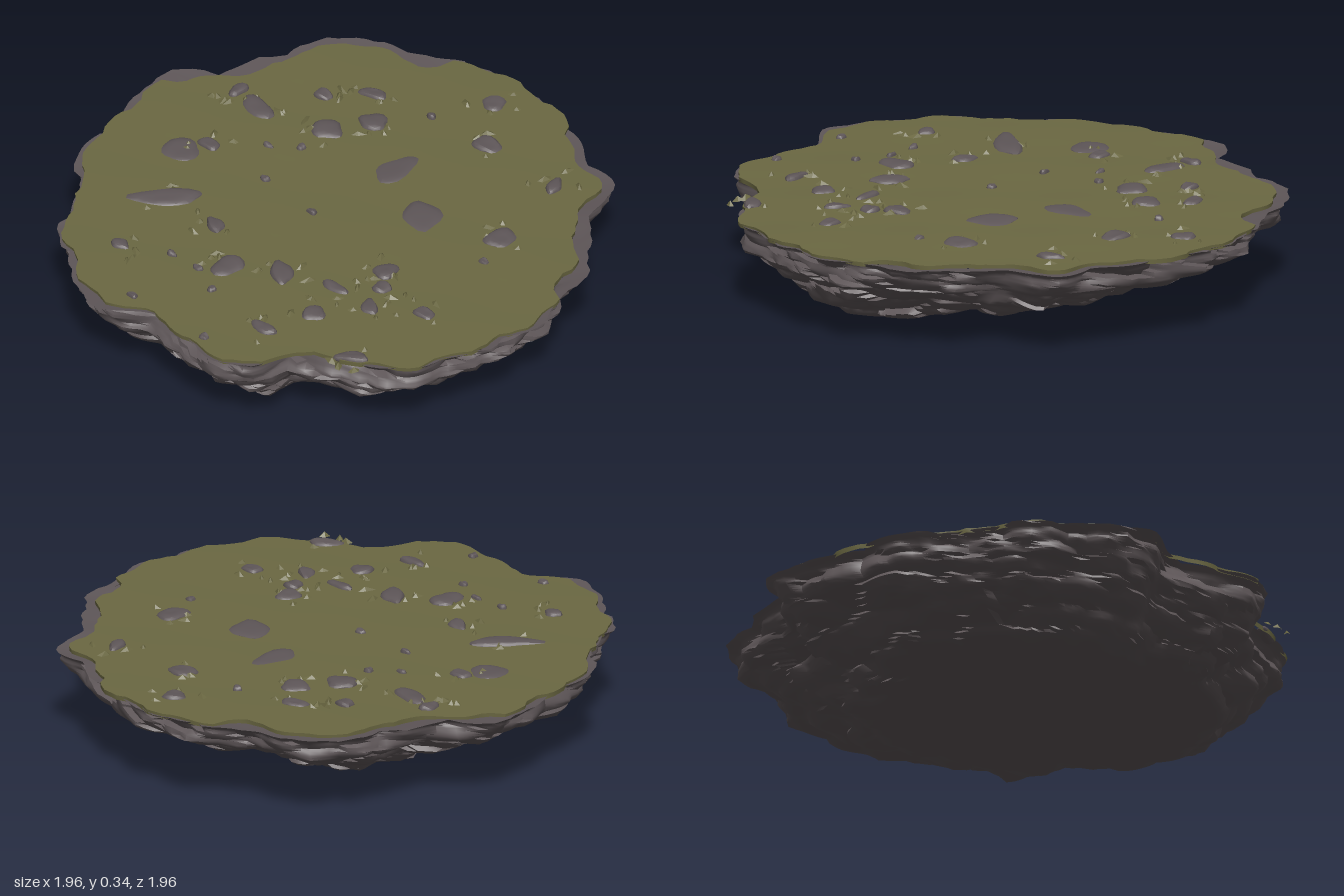
import * as THREE from 'three';
import { mergeGeometries, toCreasedNormals } from 'three/addons/utils/BufferGeometryUtils.js';

// Seeded random numbers
let seed = 7;
const rnd = () => {
  seed = (seed * 1664525 + 1013904223) % 4294967296;
  return seed / 4294967296;
};

// Island outline seen from above (x, z)
const outline = new THREE.CatmullRomCurve3([
  [0.98, 0], [0.95, 0.23], [0.87, 0.47], [0.8, 0.57], [0.59, 0.68], [0.46, 0.76], [0.41, 0.9],
  [0.22, 0.96], [0.11, 0.945], [-0.08, 0.92], [-0.24, 0.98], [-0.37, 0.95], [-0.49, 0.87],
  [-0.67, 0.73], [-0.73, 0.59], [-0.92, 0.32], [-0.96, 0.08], [-0.98, -0.19], [-0.85, -0.35],
  [-0.77, -0.51], [-0.75, -0.67], [-0.6, -0.83], [-0.4, -0.86], [-0.18, -0.98], [0.14, -0.97],
  [0.32, -0.92], [0.43, -0.83], [0.62, -0.77], [0.69, -0.56], [0.88, -0.35], [0.93, -0.19],
].map(([x, z]) => new THREE.Vector3(x, 0, z)), true);
const SEGS = 180;
const rim = outline.getSpacedPoints(SEGS).slice(0, SEGS);

// Closed rings of points joined into a surface
function loft(rows, point) {
  const pos = [], idx = [];
  for (let j = 0; j < rows; j++)
    for (let i = 0; i < SEGS; i++) pos.push(...point(i, j / (rows - 1)).toArray());
  for (let j = 0; j < rows - 1; j++)
    for (let i = 0; i < SEGS; i++) {
      const a = j * SEGS + i, b = j * SEGS + (i + 1) % SEGS;
      idx.push(a, b, a + SEGS, b, b + SEGS, a + SEGS);
    }
  const g = new THREE.BufferGeometry();
  g.setAttribute('position', new THREE.Float32BufferAttribute(pos, 3));
  g.setIndex(idx);
  g.computeVertexNormals();
  return g;
}

// Rock profile: position along it, scale of the outline, height
const profile = [
  [0, 0.9, 0.318], [0.06, 0.99, 0.327], [0.1, 0.95, 0.31], [0.28, 0.94, 0.235], [0.36, 0.88, 0.2],
  [0.48, 0.82, 0.145], [0.6, 0.72, 0.085], [0.74, 0.62, 0.03], [0.82, 0.52, 0.008],
  [0.92, 0.25, 0.012], [1, 0, 0.015],
];
const feet = [[0.63, 0.1], [-0.1, 0.6], [-0.48, -0.3]];

// Smooth underlying rock surface, leaning towards the front as it goes down
function rockBase(i, t) {
  let k = 0;
  while (k < profile.length - 2 && t > profile[k + 1][0]) k++;
  const [t0, s0, y0] = profile[k], [t1, s1, y1] = profile[k + 1];
  const f = (t - t0) / (t1 - t0), s = s0 + (s1 - s0) * f;
  let y = y0 + (y1 - y0) * f;
  const lean = Math.max(0, 1 - y / 0.26);
  const p = new THREE.Vector3(rim[i].x * s + 0.06 * lean, y, rim[i].z * s + 0.12 * lean);
  const near = Math.max(...feet.map(([x, z]) => Math.exp(-((p.x - x) ** 2 + (p.z - z) ** 2) / 0.06)));
  p.y += 0.055 * (1 - near) * Math.max(0, 1 - y / 0.2);
  return p;
}

// Stone cells that break the rock surface into overlapping blocks
const cells = Array.from({ length: 260 }, () => ({
  p: rockBase(Math.floor(rnd() * SEGS), rnd() * 0.82),
  push: (rnd() - 0.5) * 0.034,
  tilt: (rnd() - 0.3) * 0.5,
}));

function rockPoint(i, t) {
  const p = rockBase(i, t);
  let best = Infinity, cell = cells[0];
  for (const c of cells) {
    const d = (p.x - c.p.x) ** 2 + 4 * (p.y - c.p.y) ** 2 + (p.z - c.p.z) ** 2;
    if (d < best) { best = d; cell = c; }
  }
  const fade = Math.min(1, Math.max(0, (0.86 - t) / 0.2));
  const d = fade * (0.034 * (0.5 - Math.sqrt(best) / 0.1) + cell.push + cell.tilt * (p.y - cell.p.y));
  const r = Math.hypot(p.x, p.z) || 1;
  p.x = THREE.MathUtils.clamp(p.x * (1 + d / r), -1, 1);
  p.z = THREE.MathUtils.clamp(p.z * (1 + d / r), -0.99, 0.99);
  p.y = Math.max(0, p.y - (t > 0.3 ? d * 0.25 : 0));
  return p;
}

// Grass sheet with a ragged edge that drops over the rim
const ragged = rim.map((p, i) => 0.965 + 0.012 * Math.sin(i * 0.9) + (rnd() - 0.5) * 0.012
  - (p.z < -0.15 && Math.abs(p.x) > 0.3 ? 0.035 : 0));
function grassPoint(i, t) {
  const edge = t > 0.97;
  const s = edge ? ragged[i] * 0.998 : ragged[i] * t / 0.97;
  const x = rim[i].x * s, z = rim[i].z * s;
  const wave = 0.0025 * Math.sin(x * 9 + 2 * z) * Math.cos(z * 11 - x * 3);
  return new THREE.Vector3(x, edge ? 0.318 : 0.335 + wave, z);
}

// Embedded stones: x, z, half width, half depth, turn
const stones = [
  [-0.01, -0.3, 0.06, 0.1, 0], [0.25, -0.16, 0.1, 0.07, -0.7], [-0.63, 0.12, 0.06, 0.08, -0.3],
  [-0.49, 0.37, 0.13, 0.05, 0.8], [-0.05, 0.51, 0.06, 0.06, 0], [0.54, -0.25, 0.05, 0.06, 0],
  [0.37, 0.16, 0.04, 0.05, 0], [0.11, 0.41, 0.08, 0.04, -0.7], [0.36, 0.51, 0.04, 0.05, 0],
  [0.28, 0.69, 0.05, 0.03, 0], [-0.01, -0.81, 0.05, 0.04, 0.6], [0.14, -0.62, 0.06, 0.04, 0],
  [-0.36, -0.57, 0.05, 0.03, 0.3], [-0.25, -0.45, 0.06, 0.05, 0], [-0.33, -0.31, 0.06, 0.06, 0],
  [-0.6, -0.24, 0.07, 0.05, -0.3], [-0.72, -0.27, 0.03, 0.04, 0], [-0.48, -0.45, 0.04, 0.025, 0],
  [-0.58, 0.03, 0.04, 0.03, 0], [-0.25, 0.36, 0.05, 0.03, -0.5], [-0.41, 0.67, 0.04, 0.03, 0],
  [0.31, 0.35, 0.05, 0.03, 0], [0.47, 0.35, 0.05, 0.03, -0.7], [0.43, 0.24, 0.04, 0.03, 0],
  [0.64, 0.25, 0.04, 0.03, 0], [0.62, 0.61, 0.06, 0.03, 0.6], [0.47, -0.6, 0.03, 0.05, 0.4],
];
const pebbles = [[-0.42, -0.1], [-0.3, 0.05], [-0.33, -0.17], [0.59, -0.11], [-0.05, 0.08],
  [-0.12, -0.61], [-0.24, 0.59], [-0.12, 0.59], [0, 0.65], [0.17, 0.87], [-0.18, 0.86]]
  .map(([x, z]) => [x, z, 0.02, 0.015, 0]);

function stoneGeometry([x, z, rx, rz, turn], n) {
  const g = new THREE.IcosahedronGeometry(1, 2), p = g.attributes.position, v = new THREE.Vector3();
  for (let i = 0; i < p.count; i++) {
    v.fromBufferAttribute(p, i);
    const k = 1 + 0.13 * Math.sin(v.x * 3 + n * 2) + 0.1 * Math.sin(v.z * 4 + n);
    p.setXYZ(i, v.x * k, Math.min(v.y, 0.75) * k, v.z * k);
  }
  g.scale(rx, n < 3 ? 0.012 : 0.021, rz).rotateY(turn).translate(x, 0.331, z);
  return toCreasedNormals(g, 0.5);
}

// Small crumpled turf peaks, mostly gathered beside the stones
function turfGeometry(n) {
  const s = stones[3 + (n % (stones.length - 3))];
  const a = rnd() * 6.28, r = 0.05 + rnd() * 0.05;
  const g = new THREE.ConeGeometry(1, 1, 5, 1, true);
  g.scale(0.016 + rnd() * 0.025, 0.018, 0.009 + rnd() * 0.01);
  g.rotateZ((rnd() - 0.5) * 0.4).rotateY(rnd() * 6.28);
  g.translate(s[0] + Math.cos(a) * r, 0.34, s[1] + Math.sin(a) * r);
  return toCreasedNormals(g, 0.3);
}

export function createModel() {
  const rock = new THREE.MeshStandardMaterial({ color: 0x5e5658 });
  rock.name = 'rock grey';
  const grass = new THREE.MeshStandardMaterial({ color: 0x6b6842 });
  grass.name = 'moss green';
  const island = new THREE.Group();
  island.name = 'rockyIsland';
  const add = (name, geometry, material) => {
    const mesh = new THREE.Mesh(geometry, material);
    mesh.name = name;
    island.add(mesh);
  };
  add('rockBase', toCreasedNormals(loft(54, rockPoint), 0.75), rock);
  add('grassTop', toCreasedNormals(loft(34, grassPoint), 0.8), grass);
  add('embeddedStones', mergeGeometries([...stones, ...pebbles].map(stoneGeometry)), rock);
  add('turfPeaks', mergeGeometries(Array.from({ length: 96 }, (_, n) => turfGeometry(n))), grass);
  return island;
}
